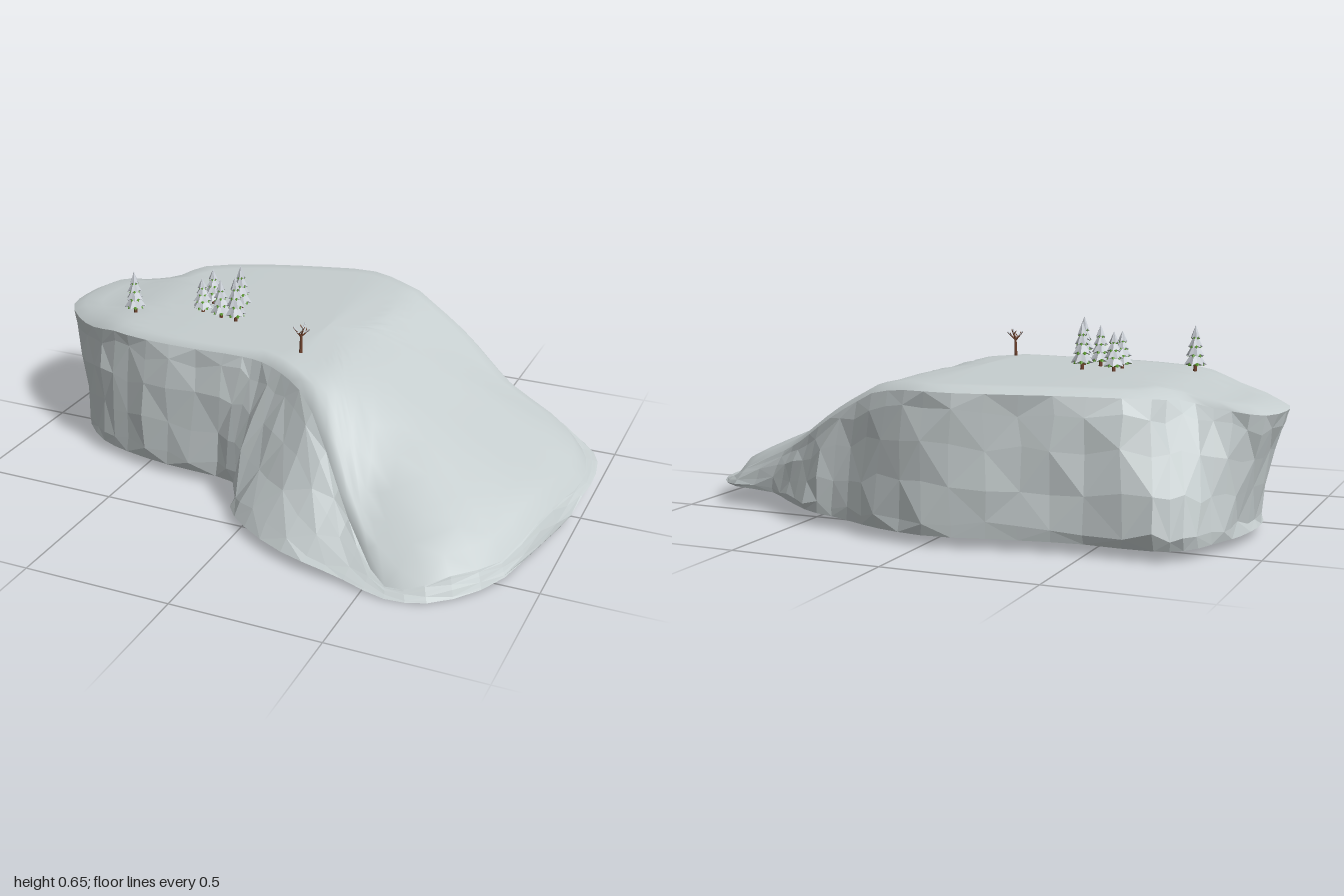
import * as THREE from 'three';

const snow = new THREE.MeshStandardMaterial({ color: 0xc6cecf, side: THREE.DoubleSide });
snow.name = 'snow';
const frost = new THREE.MeshStandardMaterial({ color: 0xccd1d8, flatShading: true });
frost.name = 'frost';
const needle = new THREE.MeshStandardMaterial({ color: 0x5c9c2c, flatShading: true });
needle.name = 'needle green';
const bark = new THREE.MeshStandardMaterial({ color: 0x6f422c, flatShading: true });
bark.name = 'bark';

const { smoothstep, lerp } = THREE.MathUtils;

// Stations round the hill: foot x, foot z, rim x, rim z
const STATIONS = [
  [-0.91, -0.22, -1, -0.22], [-0.9, -0.1, -0.98, -0.1], [-0.83, 0.07, -0.86, 0.04],
  [-0.71, 0.19, -0.72, 0.14], [-0.58, 0.24, -0.58, 0.195], [-0.38, 0.275, -0.38, 0.22],
  [-0.17, 0.29, -0.15, 0.215], [-0.1, 0.33, -0.06, 0.225], [-0.07, 0.45, 0.04, 0.27],
  [0.05, 0.56, 0.14, 0.33], [0.25, 0.66, 0.3, 0.45], [0.42, 0.69, 0.43, 0.57],
  [0.58, 0.72, 0.57, 0.685], [0.72, 0.68, 0.7, 0.65], [0.86, 0.52, 0.84, 0.495],
  [0.93, 0.28, 0.91, 0.26], [0.98, 0.06, 0.95, 0.05], [1, -0.14, 0.97, -0.13],
  [0.97, -0.33, 0.93, -0.31], [0.88, -0.43, 0.84, -0.4], [0.69, -0.475, 0.65, -0.45],
  [0.58, -0.55, 0.55, -0.5], [0.46, -0.62, 0.43, -0.56], [0.33, -0.635, 0.3, -0.6],
  [0.17, -0.7, 0.15, -0.65], [-0.02, -0.73, -0.02, -0.705], [-0.25, -0.685, -0.24, -0.665],
  [-0.47, -0.65, -0.46, -0.6], [-0.72, -0.66, -0.66, -0.51], [-0.81, -0.62, -0.72, -0.39],
  [-0.86, -0.48, -0.84, -0.38], [-0.89, -0.37, -0.96, -0.37],
];
const RINGS = 72;
const CENTRE = { x: 0.05, z: -0.1 };

const hash = (i, j) => {
  const s = Math.sin(i * 127.1 + j * 311.7) * 43758.5453;
  return (s - Math.floor(s)) * 2 - 1;
};

// Piecewise linear lookup through [position, value] pairs
function lookup(table, v) {
  if (v <= table[0][0]) return table[0][1];
  for (let k = 1; k < table.length; k++) {
    const [p0, q0] = table[k - 1], [p1, q1] = table[k];
    if (v <= p1) return q0 + (q1 - q0) * (v - p0) / (p1 - p0);
  }
  return table[table.length - 1][1];
}
const ALONG = [[-1, 0.425], [-0.8, 0.445], [-0.65, 0.482], [-0.4, 0.49], [0.05, 0.493], [0.2, 0.475],
  [0.4, 0.375], [0.6, 0.275], [0.8, 0.19], [0.9, 0.145], [1, 0.07]];
const ACROSS = [[0.1, 0.62], [0.2, 0.565], [0.32, 0.485], [0.385, 0.385], [0.45, 0.29], [0.57, 0.175], [0.7, 0.045]];

// Height of the snowfield: flat plateau, then a fan falling to +x and round to the front
function height(x, z) {
  const recede = smoothstep(x, 0.3, 0.7) * (0.18 * smoothstep(z, 0.1, 0.6) + 0.07 * smoothstep(-z, 0.2, 0.45));
  const a = lookup(ALONG, x + recede);
  const b = lerp(lookup(ACROSS, z), 0.02 + 0.65 * (0.72 - z), smoothstep(x, 0.2, 0.45));
  const h = Math.max(0.09 - Math.abs(a - b), 0);
  return Math.min(a, b) - h * h / 0.36;
}
const footHeight = (x, z) =>
  x < 0.3 ? 0.033 : z > 0 ? 0.033 - 0.033 * Math.min(1, z / 0.7) * Math.min(1, (x - 0.3) / 0.3)
    : 0.033 + 0.03 * Math.min(1, (x - 0.3) / 0.4);

// Skins a list of closed loops, ordered from the foot inward
function skin(loops) {
  const n = loops[0].length, index = [];
  for (let j = 0; j < loops.length - 1; j++) {
    for (let i = 0; i < n; i++) {
      const a = j * n + i, b = j * n + (i + 1) % n, c = b + n, d = a + n;
      if ((i + j) % 2) index.push(a, b, c, a, c, d);
      else index.push(a, b, d, b, c, d);
    }
  }
  const g = new THREE.BufferGeometry();
  g.setAttribute('position', new THREE.Float32BufferAttribute(loops.flat(2), 3));
  g.setIndex(index);
  return g;
}

function buildHill() {
  const curve = (k) => new THREE.CatmullRomCurve3(
    STATIONS.map((s) => new THREE.Vector3(s[k], 0, s[k + 1])), true);
  // Sampled by station, so foot and rim points stay paired
  const sample = (c) => Array.from({ length: RINGS }, (_, i) => c.getPoint(i / RINGS));
  const foot = sample(curve(0)), rim = sample(curve(2));
  foot.forEach((p) => { p.y = footHeight(p.x, p.z); });
  rim.forEach((p, i) => { p.y = Math.max(height(p.x, p.z) - 0.02, foot[i].y + 0.015); });

  // Cliff: gently faceted, steep on the sides and sweeping out at the front spur
  const cliffLoops = [0, 0.1, 0.36, 0.64, 0.88, 1].map((f, j) => foot.map((p, i) => {
    const q = rim[i];
    const spur = smoothstep(p.z, 0.3, 0.5);
    const e = f === 0 ? 0.1 * (1 - spur) : Math.pow(f, 1.6 - 0.7 * spur);
    const rough = f > 0 && f < 1 ? 0.02 * (q.y - p.y) : 0;
    return [
      p.x + (q.x - p.x) * e + hash(i, j) * rough,
      p.y + (q.y - p.y) * f + hash(i + 50, j) * rough * 2,
      p.z + (q.z - p.z) * e + hash(i + 90, j) * rough,
    ];
  }));
  const cliffGeo = skin(cliffLoops).toNonIndexed();
  cliffGeo.computeVertexNormals();
  const cliff = new THREE.Mesh(cliffGeo, snow);
  cliff.name = 'cliff';

  // Snowfield: smooth loops closing onto a central point
  const topLoops = [0, 0.05, 0.12, 0.2, 0.3, 0.4, 0.5, 0.6, 0.7, 0.8, 0.9, 1].map((t) => rim.map((q) => {
    const x = lerp(q.x, CENTRE.x, t), z = lerp(q.z, CENTRE.z, t);
    return [x, t === 0 ? q.y : height(x, z), z];
  }));
  const topGeo = skin(topLoops);
  topGeo.computeVertexNormals();
  const top = new THREE.Mesh(topGeo, snow);
  top.name = 'snowfield';

  const hill = new THREE.Group();
  hill.name = 'hill';
  hill.add(cliff, top);
  return hill;
}

// Cone with a jagged, drooping hem
function jaggedCone(radius, tall, turn) {
  const g = new THREE.ConeGeometry(radius, tall, 12, 1);
  const p = g.attributes.position;
  for (let i = 0; i < p.count; i++) {
    const x = p.getX(i), z = p.getZ(i);
    if (Math.hypot(x, z) < radius * 0.5) continue;
    const k = Math.round(Math.atan2(x, z) / (Math.PI / 6));
    if (k % 2) p.setXYZ(i, x * 0.7, p.getY(i) + tall * 0.15, z * 0.7);
  }
  g.rotateY(turn);
  return g;
}

function pine(x, z, topY, seed) {
  const tree = new THREE.Group();
  tree.name = 'pine';
  const ground = height(x, z), h = topY - ground;
  const trunk = new THREE.Mesh(new THREE.CylinderGeometry(0.005, 0.007, 0.06, 6), bark);
  trunk.name = 'trunk';
  trunk.position.y = 0.012;
  tree.add(trunk);
  [[0.14, 0.038, 0.38], [0.33, 0.032, 0.35], [0.52, 0.025, 0.31], [0.71, 0.017, 0.29]].forEach(([y, r, t], k) => {
    const turn = seed + k * 0.5;
    // Green boughs show between the snowy ones
    const green = new THREE.Mesh(jaggedCone(r * 0.84, h * t, turn + Math.PI / 6), needle);
    green.name = 'needles';
    green.position.y = h * (y + t / 2) - 0.003;
    const cap = new THREE.Mesh(jaggedCone(r, h * t, turn), frost);
    cap.name = 'snowyBranches';
    cap.position.y = h * (y + t / 2);
    tree.add(green, cap);
  });
  tree.position.set(x, ground, z);
  return tree;
}

function limb(a, b, r0, r1, material, name) {
  const from = new THREE.Vector3(...a), dir = new THREE.Vector3(...b).sub(from);
  const m = new THREE.Mesh(new THREE.CylinderGeometry(r1, r0, dir.length(), 6), material);
  m.position.copy(from).addScaledVector(dir, 0.5);
  m.quaternion.setFromUnitVectors(new THREE.Vector3(0, 1, 0), dir.normalize());
  m.name = name;
  return m;
}

function bareTree(x, z) {
  const tree = new THREE.Group();
  tree.name = 'bareTree';
  tree.add(limb([0, -0.015, 0.006], [0, 0.064, 0], 0.006, 0.004, bark, 'trunk'));
  const tips = [[-0.027, 0.085, 0.004], [0.027, 0.082, -0.006], [0.004, 0.094, -0.022], [-0.008, 0.074, 0.018], [0.012, 0.091, 0.01]];
  tips.forEach((tip, k) => {
    const start = [0, 0.054 + k * 0.002, 0.001];
    const mid = tip.map((v, i) => lerp(start[i], v, 0.55));
    const twig = [mid[0] + tip[2] * 0.6, mid[1] + 0.012, mid[2] - tip[0] * 0.6];
    const lift = (p) => [p[0], p[1] + 0.0022, p[2]];
    tree.add(limb(start, tip, 0.003, 0.0015, bark, 'branch'));
    tree.add(limb(mid, twig, 0.002, 0.001, bark, 'twig'));
    tree.add(limb(lift(mid), lift(tip), 0.0028, 0.0022, frost, 'branchSnow'));
  });
  tree.position.set(x, height(x, z), z);
  return tree;
}

export function createModel() {
  const model = new THREE.Group();
  model.name = 'snowyHill';
  model.add(buildHill());
  [[-0.635, 0.035, 0.635], [-0.41, -0.135, 0.62], [-0.41, -0.05, 0.615],
    [-0.3, -0.135, 0.65], [-0.325, -0.025, 0.63], [-0.262, -0.012, 0.655]]
    .forEach(([x, z, y], k) => model.add(pine(x, z, y, k * 1.3)));
  model.add(bareTree(0.058, 0.147));
  return model;
}
